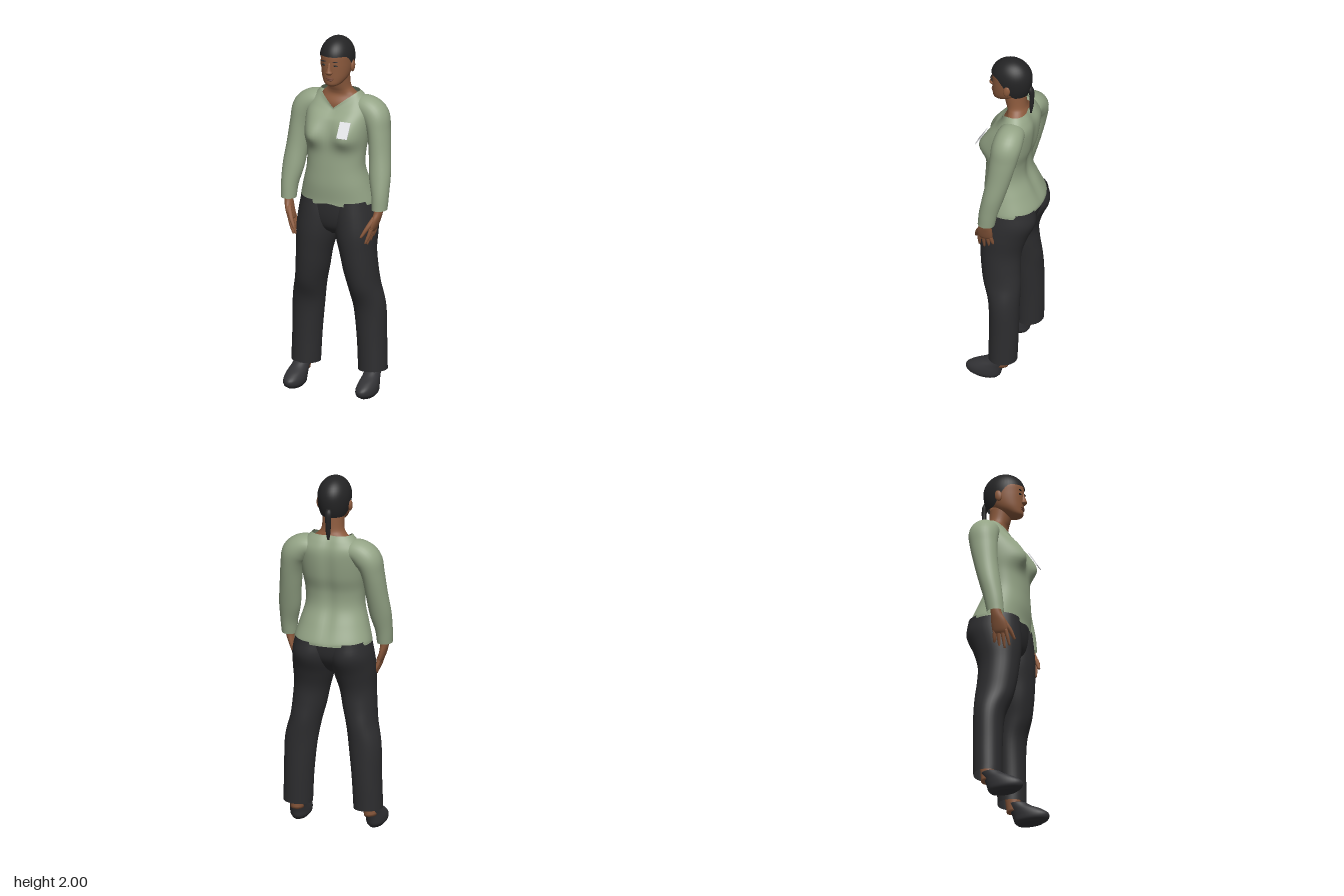
import * as THREE from 'three';

const mat = (name, color, side = THREE.FrontSide) => {
  const m = new THREE.MeshStandardMaterial({ color, side });
  m.name = name;
  return m;
};

// Smooth loft through stations [x, y, z, radius across, radius in z], with
// rings square to the path in the xy plane; warp may move each vertex.
function loft(stations, { segs = 32, steps = 5, cap = true, power = 2, warp } = {}) {
  const centre = new THREE.CatmullRomCurve3(stations.map(s => new THREE.Vector3(s[0], s[1], s[2])), false, 'catmullrom');
  const radii = new THREE.CatmullRomCurve3(stations.map(s => new THREE.Vector3(s[3], s[4], 0)), false, 'catmullrom');
  const n = (stations.length - 1) * steps;
  const rings = [];
  for (let i = 0; i <= n; i++) rings.push([i / n, 1]);
  if (cap) { rings.unshift([0, 0]); rings.push([1, 0]); }
  const pow = v => Math.sign(v) * Math.abs(v) ** (2 / power);
  const pos = [], index = [];
  for (const [t, k] of rings) {
    const c = centre.getPoint(t), r = radii.getPoint(t), d = centre.getTangent(t);
    const len = Math.hypot(d.x, d.y);
    for (let j = 0; j < segs; j++) {
      const a = j / segs * Math.PI * 2;
      const u = pow(Math.cos(a)) * r.x * k, w = pow(Math.sin(a)) * r.y * k;
      const p = new THREE.Vector3(c.x + u * d.y / len, c.y - u * d.x / len, c.z + w);
      if (warp) warp(p, a, t);
      pos.push(p.x, p.y, p.z);
    }
  }
  return skin(pos, index, rings.length, segs);
}

// Joins rows of a closed grid of points into a smooth surface.
function skin(pos, index, rows, segs) {
  for (let i = 0; i < rows - 1; i++) for (let j = 0; j < segs; j++) {
    const a = i * segs + j, b = i * segs + (j + 1) % segs;
    index.push(a, a + segs, b, b, a + segs, b + segs);
  }
  const g = new THREE.BufferGeometry();
  g.setAttribute('position', new THREE.Float32BufferAttribute(pos, 3));
  g.setIndex(index);
  g.computeVertexNormals();
  return g;
}

// Hair cap: half-ellipsoid whose hairline is high in front and low behind.
function hairCap(segs = 40, rows = 18) {
  const pos = [];
  for (let i = 0; i <= rows; i++) for (let j = 0; j < segs; j++) {
    const a = j / segs * Math.PI * 2;
    const hairline = 1.79 + 0.12 * THREE.MathUtils.smoothstep(Math.sin(a), -0.5, 0.6);
    const end = Math.acos((hairline - 1.89) / 0.11);
    const h = Math.cos(end * (1 - i / rows));
    const r = Math.sqrt(Math.max(0, 1 - (h < 0 ? h * 0.65 : h) ** 2));
    pos.push(Math.cos(a) * r * 0.092, 1.89 + h * 0.11, 0.003 + Math.sin(a) * r * 0.116);
  }
  return skin(pos, [], rows + 1, segs);
}

export function createModel() {
  const model = new THREE.Group();
  const skinTone = mat('brown skin', 0x8c5a3d);
  const shirt = mat('sage shirt', 0x94a486, THREE.DoubleSide);
  const trousers = mat('charcoal trousers', 0x2d2d2f, THREE.DoubleSide);
  const hair = mat('black hair', 0x242425, THREE.DoubleSide);
  const shoe = mat('dark shoes', 0x333336);
  const lip = mat('dark lips', 0x6f4333);
  const white = mat('white badge', 0xe6e7ea);

  const add = (name, geo, material, parent = model) => {
    const m = new THREE.Mesh(geo, material);
    m.name = name;
    parent.add(m);
    return m;
  };
  const blob = (name, material, x, y, z, rx, ry, rz) => {
    const m = add(name, new THREE.SphereGeometry(1, 16, 12), material);
    m.position.set(x, y, z);
    m.scale.set(rx, ry, rz);
    return m;
  };

  // Shirt body: bust, V neckline and uneven hem are shaped by the warp
  add('shirtBody', loft([
    [0, 1.075, -0.02, 0.215, 0.155], [0, 1.1, -0.018, 0.211, 0.153], [0, 1.18, 0.002, 0.188, 0.138],
    [0, 1.27, 0.018, 0.165, 0.118], [0, 1.36, 0.015, 0.166, 0.115], [0, 1.45, 0, 0.178, 0.125],
    [0, 1.55, -0.02, 0.185, 0.12], [0, 1.61, -0.04, 0.178, 0.1], [0, 1.655, -0.045, 0.145, 0.079],
    [0, 1.69, -0.04, 0.112, 0.063],
  ], {
    segs: 64, steps: 6, cap: false, power: 2.2,
    warp(p, a, t) {
      const front = Math.max(0, Math.sin(a));
      const dy = (p.y - 1.46) / (p.y > 1.46 ? 0.065 : 0.043), dx = (Math.abs(p.x) - 0.105) / 0.048;
      if (front > 0) p.z += 0.05 * Math.exp(-(dx * dx + dy * dy) / 2) * Math.min(1, front * 2);
      if (front > 0 && p.y > 1.54) {
        const dip = Math.max(0, 1 - Math.abs(p.x) / 0.11) * ((p.y - 1.54) / 0.15) ** 1.2;
        p.y -= 0.085 * dip;
        p.z += 0.035 * dip;
      }
      // shallow spine groove
      if (front === 0) p.z += 0.012 * Math.exp(-((p.x / 0.035) ** 2)) * Math.min(1, t * 4);
      if (t < 0.02) p.y += 0.006 * Math.sin(a * 9) * front;
    },
  }), shirt);

  // Trouser seat joining the two legs
  add('trouserSeat', loft([
    [0, 0.89, 0.005, 0.05, 0.05], [0, 0.93, 0.003, 0.15, 0.1], [0, 1.0, -0.012, 0.208, 0.135],
    [0, 1.1, -0.018, 0.204, 0.146],
  ]), trousers);

  for (const s of [1, -1]) {
    const side = s > 0 ? 'left' : 'right';
    const mirrored = list => list.map(([x, ...rest]) => [x * s, ...rest]);

    add(side + 'TrouserLeg', loft(mirrored([
      [0.2, 0.125, -0.022, 0.081, 0.079], [0.193, 0.3, -0.025, 0.083, 0.081], [0.182, 0.48, -0.022, 0.09, 0.085],
      [0.16, 0.6, -0.003, 0.086, 0.105], [0.143, 0.7, 0.01, 0.093, 0.11], [0.13, 0.8, 0.015, 0.1, 0.115],
      [0.117, 0.9, 0.003, 0.115, 0.133], [0.105, 1.0, -0.02, 0.12, 0.152], [0.1, 1.09, -0.02, 0.108, 0.143],
    ]), { cap: false }), trousers);

    add(side + 'Ankle', loft(mirrored([
      [0.21, 0.08, -0.01, 0.036, 0.045], [0.205, 0.15, -0.02, 0.036, 0.042], [0.2, 0.3, -0.025, 0.05, 0.055],
    ])), skinTone);

    add(side + 'Shoe', loft(mirrored([
      [0.216, 0, 0.076, 0.036, 0.072], [0.216, 0.02, 0.083, 0.052, 0.096], [0.216, 0.05, 0.08, 0.055, 0.102],
      [0.214, 0.08, 0.055, 0.051, 0.088], [0.212, 0.105, 0.022, 0.046, 0.068], [0.21, 0.128, 0.0, 0.042, 0.056],
    ])), shoe);

    // Sleeve runs from inside the shoulder down to an open cuff
    add(side + 'Sleeve', loft(mirrored([
      [0.08, 1.6, -0.05, 0.05, 0.06], [0.15, 1.602, -0.048, 0.068, 0.076], [0.205, 1.56, -0.045, 0.076, 0.082],
      [0.23, 1.48, -0.035, 0.063, 0.076], [0.245, 1.36, -0.015, 0.06, 0.066], [0.258, 1.24, 0.012, 0.06, 0.059],
      [0.27, 1.14, 0.035, 0.048, 0.052], [0.272, 1.06, 0.047, 0.042, 0.047],
    ]), { cap: false }), shirt);

    // Hand: wrist and palm, four spread fingers and a forward thumb
    const hand = new THREE.Group();
    hand.name = side + 'Hand';
    model.add(hand);
    add('palm', loft(mirrored([
      [0.272, 1.14, 0.04, 0.027, 0.032], [0.27, 1.06, 0.05, 0.024, 0.03], [0.26, 1.01, 0.06, 0.02, 0.042],
      [0.247, 0.965, 0.064, 0.016, 0.044], [0.24, 0.945, 0.064, 0.011, 0.038],
    ]), { segs: 20 }), skinTone, hand);
    [[0.095, 0.108, 0.875], [0.075, 0.08, 0.865], [0.054, 0.05, 0.868], [0.034, 0.022, 0.885]].forEach(([z0, z1, y], i) =>
      add('finger' + (i + 1), loft(mirrored([
        [0.246, 0.965, z0, 0.011, 0.011], [0.232, 0.92, (z0 + z1) / 2, 0.01, 0.01], [0.214, y, z1, 0.006, 0.006],
      ]), { segs: 10, steps: 4 }), skinTone, hand));
    add('thumb', loft(mirrored([
      [0.258, 1.02, 0.08, 0.014, 0.016], [0.228, 0.965, 0.112, 0.012, 0.014], [0.2, 0.915, 0.132, 0.007, 0.007],
    ]), { segs: 10, steps: 4 }), skinTone, hand);

    // Ear, eye and brow
    blob(side + 'Ear', skinTone, 0.09 * s, 1.843, 0, 0.011, 0.032, 0.02).rotation.x = -0.15;
    blob(side + 'Eye', hair, 0.034 * s, 1.861, 0.105, 0.013, 0.0045, 0.006);
    blob(side + 'Brow', hair, 0.035 * s, 1.883, 0.107, 0.018, 0.003, 0.005);
  }

  // Neck and upper chest, seen through the neckline
  add('neck', loft([
    [0, 1.55, -0.04, 0.12, 0.08], [0, 1.62, -0.035, 0.115, 0.077], [0, 1.665, -0.04, 0.104, 0.06],
    [0, 1.69, -0.035, 0.078, 0.056], [0, 1.72, -0.025, 0.062, 0.057], [0, 1.8, -0.01, 0.06, 0.065],
  ]), skinTone);

  // Head, from chin to crown
  add('head', loft([
    [0, 1.737, 0.07, 0.02, 0.02], [0, 1.75, 0.058, 0.045, 0.05], [0, 1.78, 0.03, 0.068, 0.081],
    [0, 1.82, 0.012, 0.08, 0.1], [0, 1.87, 0.004, 0.085, 0.109], [0, 1.92, 0.002, 0.085, 0.107],
    [0, 1.96, 0.003, 0.065, 0.081], [0, 1.985, 0.003, 0.034, 0.044],
  ], { segs: 40 }), skinTone);
  add('nose', loft([
    [0, 1.808, 0.112, 0.012, 0.008], [0, 1.82, 0.114, 0.02, 0.018], [0, 1.835, 0.113, 0.013, 0.015],
    [0, 1.875, 0.107, 0.007, 0.008],
  ], { segs: 16 }), skinTone);
  blob('upperLip', lip, 0, 1.787, 0.107, 0.025, 0.005, 0.01);
  blob('lowerLip', lip, 0, 1.778, 0.106, 0.021, 0.006, 0.01);

  add('hairCap', hairCap(), hair);
  add('ponytail', loft([
    [0, 1.845, -0.102, 0.012, 0.012], [0, 1.82, -0.11, 0.019, 0.014], [0, 1.78, -0.113, 0.016, 0.013],
    [0, 1.72, -0.111, 0.014, 0.011], [0, 1.67, -0.108, 0.006, 0.005],
  ], { segs: 14 }), hair);

  // Badge clipped on the left chest
  const badge = add('badge', new THREE.BoxGeometry(0.063, 0.095, 0.004), white);
  badge.position.set(0.1, 1.512, 0.141);
  badge.rotation.x = -0.55;

  return model;
}
